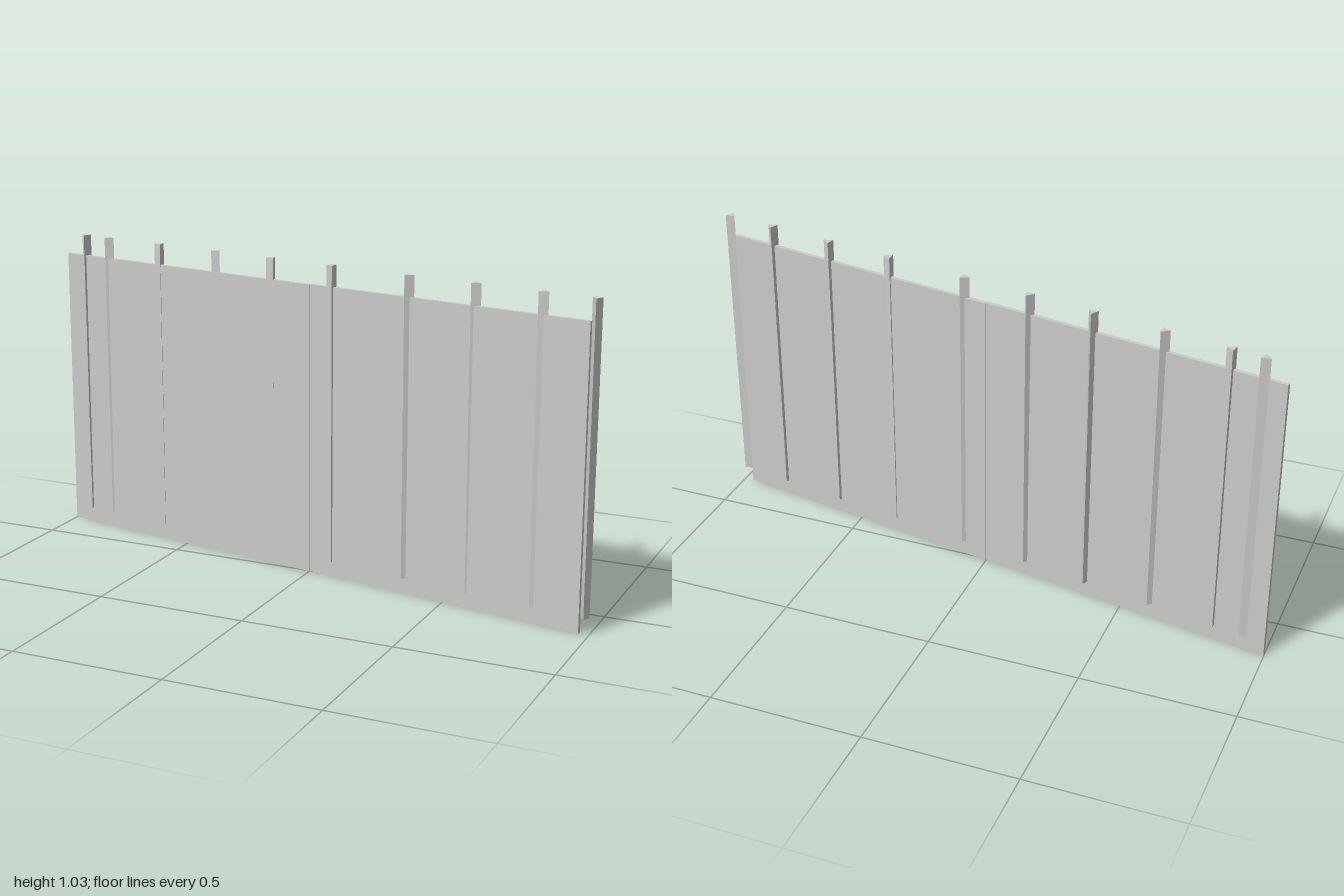
import * as THREE from 'three';

const material = new THREE.MeshStandardMaterial({ color: 0xcccccc, flatShading: true });
const THICKNESS = 0.013;
const PANEL_HEIGHT = 0.96;
const POST_BOTTOM = 0.05;
const POST_TOP = 1.03;
const POST_RADIUS = 0.018;

// Upright flat panel between two ground points
function makePanel(name, x0, z0, x1, z1) {
  const length = Math.hypot(x1 - x0, z1 - z0);
  const panel = new THREE.Mesh(new THREE.BoxGeometry(length, PANEL_HEIGHT, THICKNESS), material);
  panel.position.set((x0 + x1) / 2, PANEL_HEIGHT / 2, (z0 + z1) / 2);
  panel.rotation.y = -Math.atan2(z1 - z0, x1 - x0);
  panel.name = name;
  return panel;
}

// Three-sided stake; apex is the heading of one corner, in degrees from +z towards +x
function makePost(x, z, apex) {
  const height = POST_TOP - POST_BOTTOM;
  const geometry = new THREE.CylinderGeometry(POST_RADIUS, POST_RADIUS * 0.9, height, 3);
  geometry.rotateY(THREE.MathUtils.degToRad(apex));
  const post = new THREE.Mesh(geometry, material);
  post.position.set(x, (POST_BOTTOM + POST_TOP) / 2, z);
  post.name = 'post';
  return post;
}

export function createModel() {
  const fence = new THREE.Group();
  fence.name = 'fence';

  // Two lengths of sheet meeting at a small step in the middle
  fence.add(makePanel('leftPanel', 0, -0.004, 0.968, 0.164));
  fence.add(makePanel('rightPanel', -0.999, -0.173, 0, 0));

  // Stakes at uneven spacing, each turned differently: x, z, apex heading
  const posts = new THREE.Group();
  posts.name = 'posts';
  [
    [-0.925, -0.163, 10], [-0.82, -0.146, 80], [-0.605, -0.108, 275],
    [-0.37, -0.072, 180], [-0.15, -0.029, 285], [0.08, 0.011, 25],
    [0.36, 0.059, 330], [0.59, 0.094, 200], [0.815, 0.136, 70],
    [0.983, 0.165, 5],
  ].forEach(([x, z, apex]) => posts.add(makePost(x, z, apex)));
  fence.add(posts);

  return fence;
}
